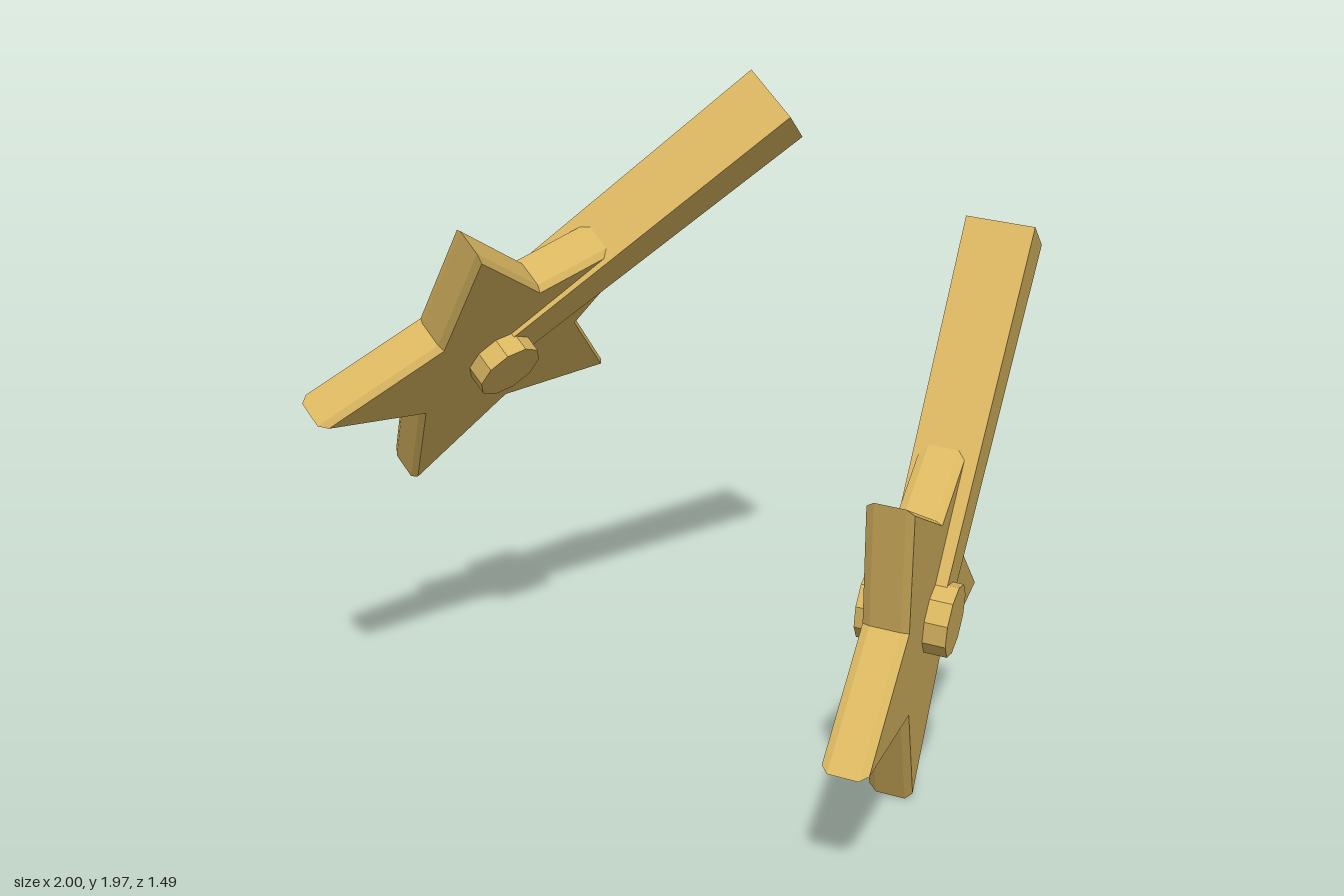
import * as THREE from 'three';

const TIP = 0.62, NOTCH = 0.295, THICK = 0.13;

// Five-pointed plate with chamfered rims, one tip along +y
function starGeometry() {
  const shape = new THREE.Shape();
  for (let i = 0; i < 10; i++) {
    const a = Math.PI / 2 + i * Math.PI / 5;
    const r = i % 2 ? NOTCH : TIP;
    shape[i ? 'lineTo' : 'moveTo'](r * Math.cos(a), r * Math.sin(a));
  }
  shape.closePath();
  const geo = new THREE.ExtrudeGeometry(shape, { depth: THICK, steps: 6, bevelEnabled: false });
  geo.translate(0, 0, -THICK / 2);
  // Shrink both faces to form the chamfer
  const p = geo.attributes.position;
  for (let i = 0; i < p.count; i++) {
    if (Math.abs(p.getZ(i)) > THICK / 2 - 0.001) p.setXY(i, p.getX(i) * 0.96, p.getY(i) * 0.96);
  }
  geo.computeVertexNormals();
  return geo;
}

// Square bar that widens gently away from the hub
function armGeometry() {
  const geo = new THREE.BoxGeometry(1, 1.125, 1).toNonIndexed();
  geo.translate(0, 0.5625, 0);
  const p = geo.attributes.position;
  for (let i = 0; i < p.count; i++) {
    const far = p.getY(i) > 0.5;
    p.setX(i, p.getX(i) * (far ? 0.17 : 0.13));
    p.setZ(i, p.getZ(i) * (far ? 0.2 : 0.176) + 0.01);
  }
  geo.computeVertexNormals();
  return geo;
}

export function createModel() {
  const gold = new THREE.MeshStandardMaterial({ color: 0xd9b660 });
  gold.name = 'gold';
  gold.flatShading = true;

  const parts = {
    starWheel: starGeometry(),
    arm: armGeometry(),
    hub: new THREE.CylinderGeometry(0.105, 0.105, 0.262, 10).rotateX(Math.PI / 2),
  };

  // Places one spur: hub centre, arm direction and axle direction
  function makeSpur(name, centre, armDir, axleDir) {
    const spur = new THREE.Group();
    spur.name = name;
    for (const [part, geo] of Object.entries(parts)) {
      const mesh = new THREE.Mesh(geo, gold);
      mesh.name = part;
      spur.add(mesh);
    }
    const y = new THREE.Vector3(...armDir).normalize();
    const x = y.clone().cross(new THREE.Vector3(...axleDir)).normalize();
    const z = x.clone().cross(y);
    spur.quaternion.setFromRotationMatrix(new THREE.Matrix4().makeBasis(x, y, z));
    spur.position.set(...centre);
    return spur;
  }

  const model = new THREE.Group();
  model.name = 'starSpurs';
  model.add(
    makeSpur('leftSpur', [0.79, 0.625, 0.18], [0.1, 0.965, -0.57], [1, -0.0835, 0.034]),
    makeSpur('rightSpur', [-0.613, 1.185, -0.15], [0.7, 0.61, -0.372], [-0.714, 0.606, -0.35]),
  );
  return model;
}
